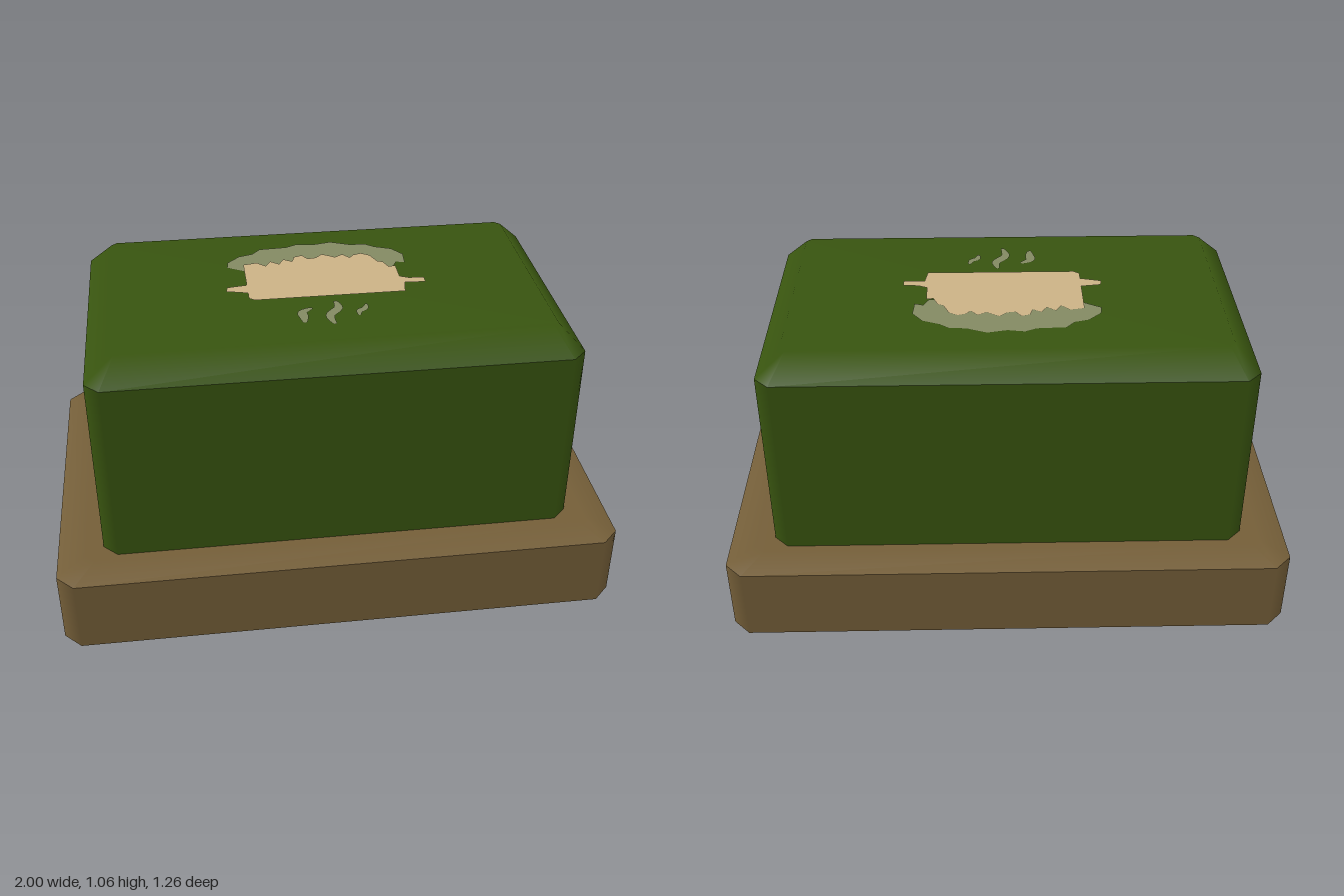
import * as THREE from 'three';

const mat = (name, color, side = THREE.FrontSide) => {
  const m = new THREE.MeshStandardMaterial({ color, side });
  m.name = name;
  return m;
};

// Eight corner points of a rectangle with cut corners, each with the normal of the side it lies on
function ring({ x, z, cut, y }) {
  return [
    [x, z - cut, 1, 0], [x, -z + cut, 1, 0],
    [x - cut, -z, 0, -1], [-x + cut, -z, 0, -1],
    [-x, -z + cut, -1, 0], [-x, z - cut, -1, 0],
    [-x + cut, z, 0, 1], [x - cut, z, 0, 1],
  ].map(([px, pz, nx, nz]) => ({ p: [px, y, pz], nx, nz }));
}

// Open-bottomed shell: upright walls, a sloping bevel that blends into a flat top
function shell(foot, shoulder, top) {
  const pos = [], nor = [], idx = [];
  const addRing = (r, out, up) => {
    const start = pos.length / 3, len = Math.hypot(out, up);
    for (const { p, nx, nz } of ring(r)) {
      pos.push(...p);
      nor.push(nx * out / len, up / len, nz * out / len);
    }
    return start;
  };
  const band = (a, b) => {
    for (let i = 0; i < 8; i++) {
      const j = (i + 1) % 8;
      idx.push(a + i, a + j, b + j, a + i, b + j, b + i);
    }
  };
  band(addRing(foot, 1, 0), addRing(shoulder, 1, 0));
  const rim = addRing(top, 0, 1);
  band(addRing(shoulder, top.y - shoulder.y, shoulder.x - top.x), rim);
  for (let i = 1; i < 7; i++) idx.push(rim, rim + i, rim + i + 1);
  const g = new THREE.BufferGeometry();
  g.setAttribute('position', new THREE.Float32BufferAttribute(pos, 3));
  g.setAttribute('normal', new THREE.Float32BufferAttribute(nor, 3));
  g.setIndex(idx);
  return g;
}

// Flat plate from [x, z] points, lying face up
function plate(points) {
  const shape = new THREE.Shape(points.map(([x, z]) => new THREE.Vector2(x, -z)));
  return new THREE.ShapeGeometry(shape).rotateX(-Math.PI / 2);
}

// Curved ribbon with tapering ends
function wisp(points, width) {
  const curve = new THREE.SplineCurve(points.map(([x, z]) => new THREE.Vector2(x, z)));
  const left = [], right = [], n = 12;
  for (let i = 0; i <= n; i++) {
    const t = i / n, p = curve.getPoint(t), d = curve.getTangent(t);
    const w = width / 2 * (0.3 + 0.7 * Math.sin(Math.PI * t));
    left.push([p.x - d.y * w, p.y + d.x * w]);
    right.unshift([p.x + d.y * w, p.y - d.x * w]);
  }
  return plate([...left, ...right]);
}

export function createModel() {
  const model = new THREE.Group();
  const brown = mat('brown', 0x745e38, THREE.DoubleSide);
  const green = mat('dark green', 0x38540f, THREE.DoubleSide);
  const sage = mat('sage', 0x838a62, THREE.DoubleSide);
  const cream = mat('cream', 0xcbb285, THREE.DoubleSide);
  const add = (name, geometry, material, y = 0) => {
    const mesh = new THREE.Mesh(geometry, material);
    mesh.name = name;
    mesh.position.y = y;
    model.add(mesh);
  };

  // Wide base tray and the block standing in it, both hollow below
  add('base', shell(
    { x: 1, z: 0.63, cut: 0.06, y: 0 },
    { x: 1, z: 0.63, cut: 0.06, y: 0.27 },
    { x: 0.9, z: 0.53, cut: 0.03, y: 0.295 }), brown);
  add('block', shell(
    { x: 0.838, z: 0.5, cut: 0.05, y: 0 },
    { x: 0.838, z: 0.5, cut: 0.05, y: 0.97 },
    { x: 0.753, z: 0.415, cut: 0.02, y: 1.055 }), green);

  // Painted dish: lumpy filling behind a pot with a scalloped rim
  add('filling', plate([
    [-0.33, -0.15], [-0.325, -0.19], [-0.28, -0.235], [-0.23, -0.25], [-0.2, -0.285],
    [-0.1, -0.29], [-0.06, -0.31], [0, -0.3], [0.07, -0.315], [0.14, -0.285],
    [0.2, -0.28], [0.23, -0.255], [0.29, -0.23], [0.325, -0.18], [0.32, -0.11],
    [0.29, -0.12], [0.27, -0.08], [-0.25, -0.1], [-0.28, -0.12],
  ]), sage, 1.058);
  add('pot', plate([
    [-0.34, 0.01], [-0.345, 0.04], [-0.27, 0.06], [-0.27, 0.1], [-0.25, 0.115],
    [0.28, 0.115], [0.29, 0.05], [0.365, 0.055], [0.365, 0.02], [0.31, 0.015],
    [0.28, 0], [0.28, -0.085], [0.255, -0.08], [0.24, -0.12], [0.22, -0.13],
    [0.2, -0.18], [0.17, -0.2], [0.14, -0.19], [0.125, -0.17], [0.1, -0.2],
    [0.07, -0.18], [0.05, -0.195], [0.025, -0.21], [0, -0.185], [-0.03, -0.18],
    [-0.05, -0.21], [-0.08, -0.2], [-0.09, -0.165], [-0.12, -0.185], [-0.14, -0.15],
    [-0.17, -0.175], [-0.19, -0.14], [-0.22, -0.17], [-0.27, -0.16], [-0.27, 0],
  ]), cream, 1.061);

  // Painted steam wisps
  [
    [[-0.06, 0.19], [-0.095, 0.215], [-0.095, 0.25], [-0.095, 0.29]],
    [[0.025, 0.15], [0.03, 0.2], [-0.005, 0.25], [0.005, 0.31]],
    [[0.13, 0.185], [0.12, 0.215], [0.1, 0.23], [0.095, 0.26]],
  ].forEach((points, i) => add(`steamWisp${i + 1}`, wisp(points, i === 2 ? 0.025 : 0.035), sage, 1.058));

  return model;
}
